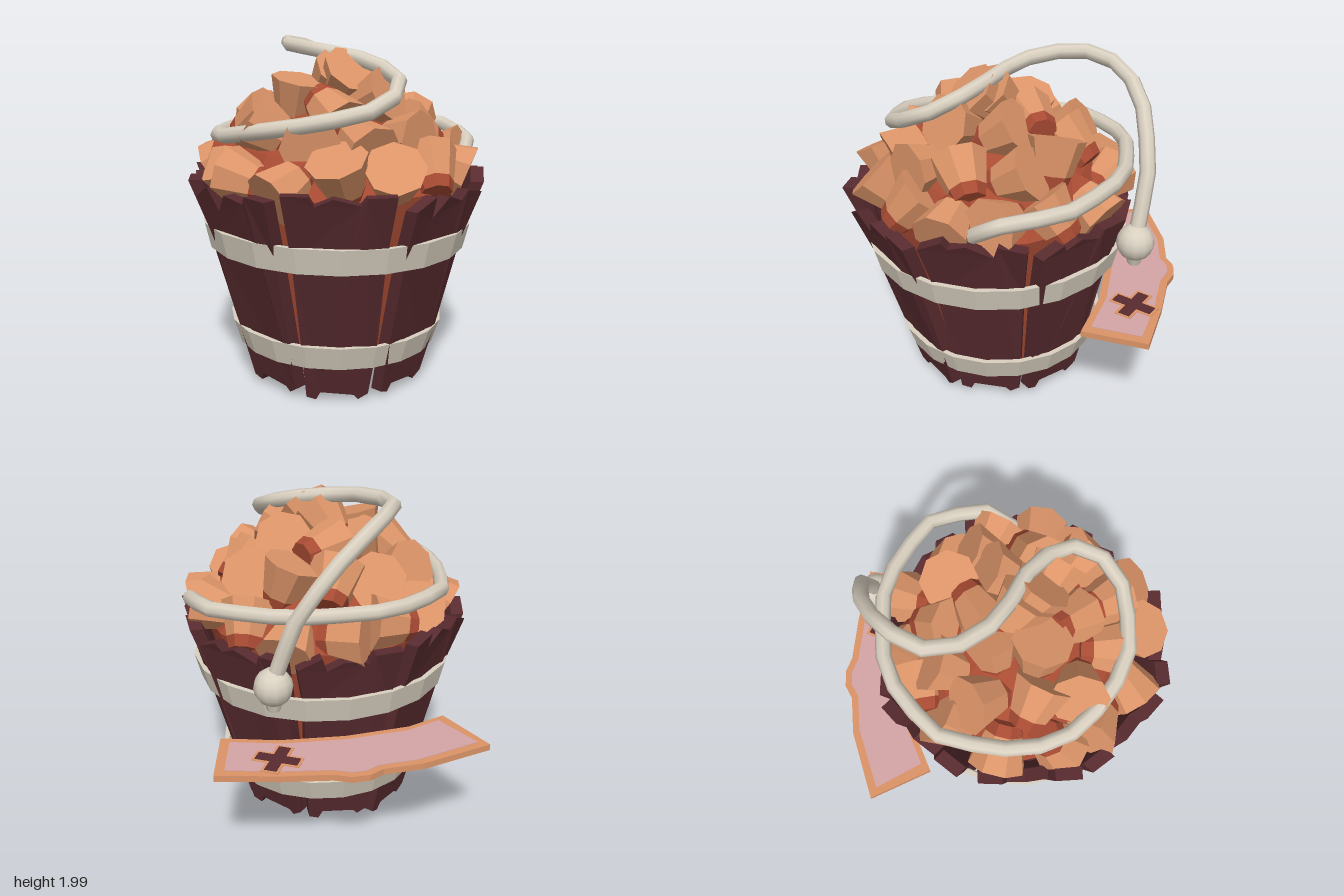
import * as THREE from 'three';

const mat = (name, color, side = THREE.FrontSide) => {
  const m = new THREE.MeshStandardMaterial({ color, side });
  m.name = name;
  return m;
};

// Faceted normals
function flat(geo) {
  const g = geo.index ? geo.toNonIndexed() : geo;
  g.computeVertexNormals();
  return g;
}

function seeded(seed) {
  return () => {
    seed = (seed * 16807) % 2147483647;
    return seed / 2147483647;
  };
}

export function createModel() {
  const root = new THREE.Group();
  root.name = 'bucket';
  const wood = mat('dark wood', 0x582b2f);
  const bone = mat('pale bone', 0xd9d0c0);
  const cork = mat('cork orange', 0xdc9468);
  const red = mat('rust red', 0xa84b33);
  const pink = mat('pink inlay', 0xd5a5a6);

  const add = (parent, name, geo, material, x = 0, y = 0, z = 0) => {
    const m = new THREE.Mesh(geo, material);
    m.name = name;
    m.position.set(x, y, z);
    parent.add(m);
    return m;
  };
  const centreZ = (y) => 0.09 + 0.035 * y;

  // Staves: ragged planks, extruded and leaned outwards
  const rnd = seeded(41);
  const thick = 0.075;
  const staveRadius = (y) => 0.49 + 0.24 * y + Math.max(0, y - 1) * 0.15;
  const staveHalf = (y) => 0.175 + 0.082 * y;
  const staves = new THREE.Group();
  staves.name = 'staves';
  root.add(staves);
  for (let i = 0; i < 8; i++) {
    const j = (a) => (rnd() - 0.5) * a;
    const low = 0.05 + j(0.05);
    const high = (i === 0 ? 1.25 : 1.23) + j(0.08);
    const outline = [
      [-1, low], [-0.7, low - 0.02], [-0.55, low + 0.03], [0.5, low + 0.01], [0.65, low - 0.02], [0.95, low + 0.02],
      [1 + j(0.08), 0.35], [0.96 + j(0.1), 0.9], [1.04, high + j(0.08)],
      [0.5, high + 0.02], [0.4, high - 0.05 + j(0.06)], [-0.1, high + j(0.04)],
      [-0.45, high - 0.06 + j(0.1)], [-0.55, high + 0.03], [-1.04, high + j(0.1)],
      [-0.96 + j(0.1), 0.9], [-1 + j(0.08), 0.35],
    ];
    const shape = new THREE.Shape(outline.map(([t, y]) => new THREE.Vector2(t * staveHalf(y), y)));
    const geo = new THREE.ExtrudeGeometry(shape, { depth: thick, bevelEnabled: false });
    const p = geo.attributes.position;
    const push = j(0.03);
    for (let k = 0; k < p.count; k++) {
      p.setZ(k, p.getZ(k) + staveRadius(p.getY(k)) - thick + push);
    }
    geo.rotateY((i * Math.PI) / 4 + j(0.06));
    for (let k = 0; k < p.count; k++) p.setZ(k, p.getZ(k) + centreZ(p.getY(k)));
    add(staves, 'stave', flat(geo), wood);
  }

  // Recessed floor and the packed filling seen through the gaps
  add(root, 'floor', flat(new THREE.CylinderGeometry(0.49, 0.47, 0.04, 16)), wood, 0, 0.2, 0.1);
  const fill = [[0, 0.23], [0.46, 0.23], [0.6, 0.85], [0.69, 1.2], [0.55, 1.4], [0.3, 1.58], [0, 1.66]];
  add(root, 'filling', flat(new THREE.LatheGeometry(fill.map(([r, y]) => new THREE.Vector2(r, y)), 16)), red, 0, 0, 0.12);

  // Hoops: flaring bands
  function hoop(name, y0, y1, r0, r1) {
    const t = 0.03;
    const pts = [[r0 - t, y0], [r0, y0], [r1, y1], [r1 - t, y1], [r0 - t, y0]].map(([r, y]) => new THREE.Vector2(r, y - y0));
    const m = add(root, name, flat(new THREE.LatheGeometry(pts, 20)), bone, -0.005, y0, centreZ(y0));
    m.rotation.z = -0.013;
  }
  hoop('upperHoop', 0.835, 0.98, 0.75, 0.785);
  hoop('lowerHoop', 0.235, 0.375, 0.59, 0.635);

  // Heap of tapered corks with red tips
  const bodyGeo = flat(new THREE.CylinderGeometry(0.165, 0.11, 0.2, 8));
  const tipGeo = flat(new THREE.CylinderGeometry(0.11, 0.09, 0.065, 8));
  const up = new THREE.Vector3(0, 1, 0);
  const heap = new THREE.Group();
  heap.name = 'corkHeap';
  root.add(heap);
  const rings = [[0.63, 1.29, 14], [0.46, 1.49, 11], [0.24, 1.63, 6], [0.05, 1.74, 2]];
  rings.forEach(([r, y, n], ring) => {
    for (let i = 0; i < n; i++) {
      const a = ((i + ring * 0.4) / n) * Math.PI * 2;
      const outward = new THREE.Vector3(Math.sin(a) * r, 0.25 + 0.1 * ring, Math.cos(a) * r).normalize();
      const tangent = new THREE.Vector3(Math.cos(a), 0, -Math.sin(a));
      const slope = new THREE.Vector3().crossVectors(outward, tangent);
      const spin = rnd() * Math.PI * 2;
      const axis = outward.multiplyScalar(i % 3 === 2 ? -0.15 : 0.3 + rnd() * 0.9)
        .addScaledVector(tangent, Math.cos(spin) * 0.7)
        .addScaledVector(slope, Math.sin(spin) * 0.7)
        .normalize();
      const piece = new THREE.Group();
      piece.name = 'cork';
      add(piece, 'corkBody', bodyGeo, cork, 0, 0.03, 0);
      add(piece, 'corkTip', tipGeo, red, 0, -0.1025, 0);
      piece.position.set(Math.sin(a) * r, y + (rnd() - 0.5) * 0.06, 0.13 + Math.cos(a) * r);
      piece.quaternion.setFromUnitVectors(up, axis);
      heap.add(piece);
    }
  });

  // Rope looping over the heap and hanging down at the back
  const path = [
    [0.64, 1.18, 0.22], [0.79, 1.37, 0.03], [0.7, 1.44, -0.36], [0.3, 1.46, -0.62],
    [-0.22, 1.46, -0.62], [-0.58, 1.45, -0.36], [-0.68, 1.45, 0], [-0.66, 1.47, 0.3],
    [-0.45, 1.53, 0.56], [-0.2, 1.58, 0.69], [0.12, 1.64, 0.69], [0.29, 1.72, 0.57],
    [0.32, 1.8, 0.38], [0.16, 1.88, 0.18], [-0.14, 1.93, 0], [-0.3, 1.95, -0.26],
    [-0.27, 1.95, -0.42], [-0.13, 1.91, -0.6], [0.08, 1.76, -0.71], [0.3, 1.5, -0.75], [0.42, 1.15, -0.71],
  ].map((q) => new THREE.Vector3(...q));
  const curve = new THREE.CatmullRomCurve3(path, false, 'catmullrom', 0.25);
  add(root, 'rope', new THREE.TubeGeometry(curve, 36, 0.044, 8), bone);
  add(root, 'ropeKnob', new THREE.SphereGeometry(0.105, 12, 8), bone, 0.42, 1.125, -0.71);
  add(root, 'ropeKnobTip', new THREE.CylinderGeometry(0.055, 0.035, 0.07, 8), bone, 0.42, 1.025, -0.71);

  // Flat curved plaque behind the bucket: [x, z] outlines laid horizontal
  function slab(name, outline, top, depth, material) {
    const shape = new THREE.Shape(outline.map((q) => new THREE.Vector2(...q)));
    const geo = new THREE.ExtrudeGeometry(shape, { depth, bevelEnabled: false });
    geo.rotateX(Math.PI / 2);
    return add(root, name, flat(geo), material, 0, top, 0);
  }
  slab('plaque', [
    [-0.76, -0.81], [-0.35, -0.92], [-0.12, -0.93], [-0.04, -0.97], [0.06, -0.97], [0.15, -0.93], [0.42, -0.89],
    [0.76, -0.815], [0.69, -0.445], [0.38, -0.53], [0, -0.56], [-0.38, -0.53], [-0.61, -0.445],
  ], 0.696, 0.036, cork);
  const inlay = [
    [-0.7, -0.775], [-0.33, -0.88], [-0.11, -0.89], [-0.03, -0.93], [0.05, -0.93], [0.14, -0.89], [0.4, -0.85],
    [0.7, -0.78], [0.645, -0.5], [0.36, -0.575], [0, -0.6], [-0.36, -0.575], [-0.565, -0.5],
  ];
  slab('plaqueInlayTop', inlay, 0.699, 0.004, pink);
  slab('plaqueInlayBottom', inlay, 0.661, 0.004, pink);

  // Painted cross on the plaque, with a paler edge
  const cross = (l, w) => [[-l, -w], [-w, -w], [-w, -l], [w, -l], [w, -w], [l, -w], [l, w], [w, w], [w, l], [-w, l], [-w, w], [-l, w]]
    .map(([x, z]) => [0.41 + x * 0.88 - z * 0.47, -0.73 + x * 0.47 + z * 0.88]);
  slab('crossEdge', cross(0.135, 0.05), 0.702, 0.005, cork);
  slab('cross', cross(0.12, 0.034), 0.705, 0.005, wood);

  return root;
}
